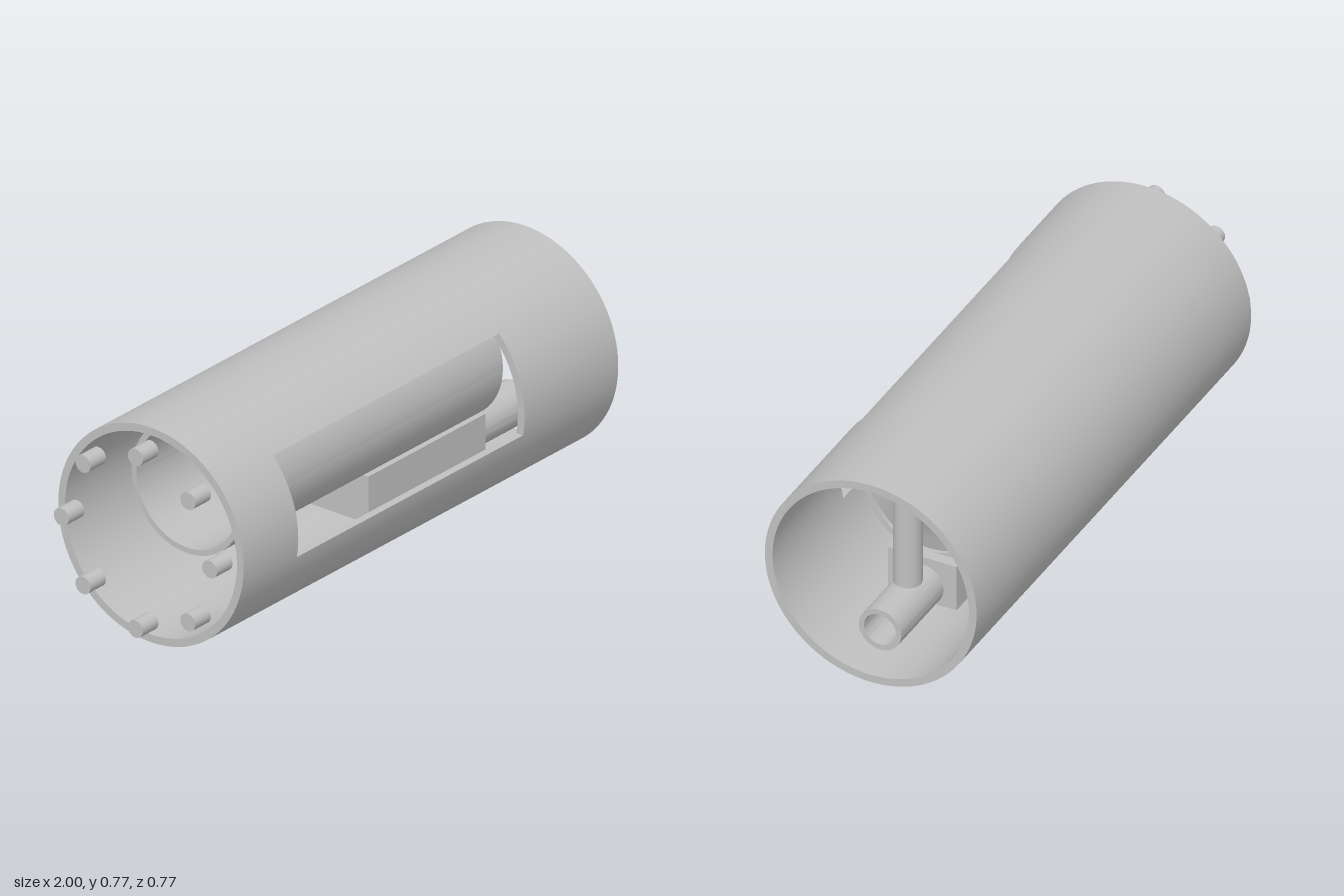
import * as THREE from 'three';
import { toCreasedNormals } from 'three/addons/utils/BufferGeometryUtils.js';

export function createModel() {
  const model = new THREE.Group();
  const grey = new THREE.MeshStandardMaterial({ color: 0xc0c0c0 });
  grey.name = 'plain grey';
  const R = 0.385, r = 0.357, axisY = 0.385;

  const add = (name, geometry, x, y, z, parent = model) => {
    const mesh = new THREE.Mesh(geometry, grey);
    mesh.name = name;
    mesh.position.set(x, y, z);
    parent.add(mesh);
    return mesh;
  };

  // Extrude a profile (drawn in -z, y) along x
  const extrudeX = (shape, length) => {
    const g = new THREE.ExtrudeGeometry(shape, { depth: length, bevelEnabled: false, curveSegments: 80 });
    g.rotateY(Math.PI / 2);
    return toCreasedNormals(g, 0.5);
  };
  const ring = (outer, inner) => {
    const s = new THREE.Shape().absarc(0, 0, outer, 0, Math.PI * 2, false);
    s.holes.push(new THREE.Path().absarc(0, 0, inner, 0, Math.PI * 2, true));
    return s;
  };
  // Solid of revolution about x, from [radius, x] points
  const latheX = (points) => {
    const g = new THREE.LatheGeometry(points.map(([a, b]) => new THREE.Vector2(a, b)), 72);
    g.rotateZ(-Math.PI / 2);
    return toCreasedNormals(g, 0.6);
  };

  // Outer shell: two full rings and an open section forming the front window
  const shell = new THREE.Group();
  shell.name = 'shell';
  model.add(shell);
  const up = 0.265, down = 0.07;
  const windowRing = new THREE.Shape();
  windowRing.absarc(0, 0, R, Math.PI + Math.asin(down / R), Math.PI * 3 - Math.asin(up / R), false);
  windowRing.absarc(0, 0, r, Math.PI * 3 - Math.asin(up / r), Math.PI + Math.asin(down / r), true);
  add('shellLeftRing', extrudeX(ring(R, r), 0.28), -0.92, axisY, 0, shell);
  add('shellWindowSection', extrudeX(windowRing, 1.16), -0.64, axisY, 0, shell);
  add('shellRightRing', extrudeX(ring(R, r), 0.48), 0.52, axisY, 0, shell);

  // Inner tank: hollow cylinder with a flared cone closing the right end
  add('tank', extrudeX(ring(0.23, 0.21), 1.335), -0.735, 0.48, 0);
  add('tankCone', latheX([
    [0, 0.5], [0.212, 0.5], [0.212, 0.585], [0.15, 0.6], [0.09, 0.622], [0.04, 0.648], [0, 0.675],
  ]), 0, 0.48, 0);

  // Upright rod beyond the tank
  add('rod', new THREE.CylinderGeometry(0.048, 0.048, 0.5, 40), 0.74, 0.49, 0);

  // Block with an outlet tube
  add('block', new THREE.BoxGeometry(0.6, 0.17, 0.25), 0.34, 0.185, 0);
  add('outletTube', extrudeX(ring(0.077, 0.058), 0.315), 0.62, 0.165, 0);

  // Ring of pins at the left end
  for (let i = 0; i < 8; i++) {
    const a = i * Math.PI / 4;
    const pin = add('pin', new THREE.CylinderGeometry(0.031, 0.031, 0.08, 32),
      -0.96, axisY + 0.308 * Math.sin(a), 0.308 * Math.cos(a));
    pin.rotation.z = Math.PI / 2;
  }
  return model;
}
